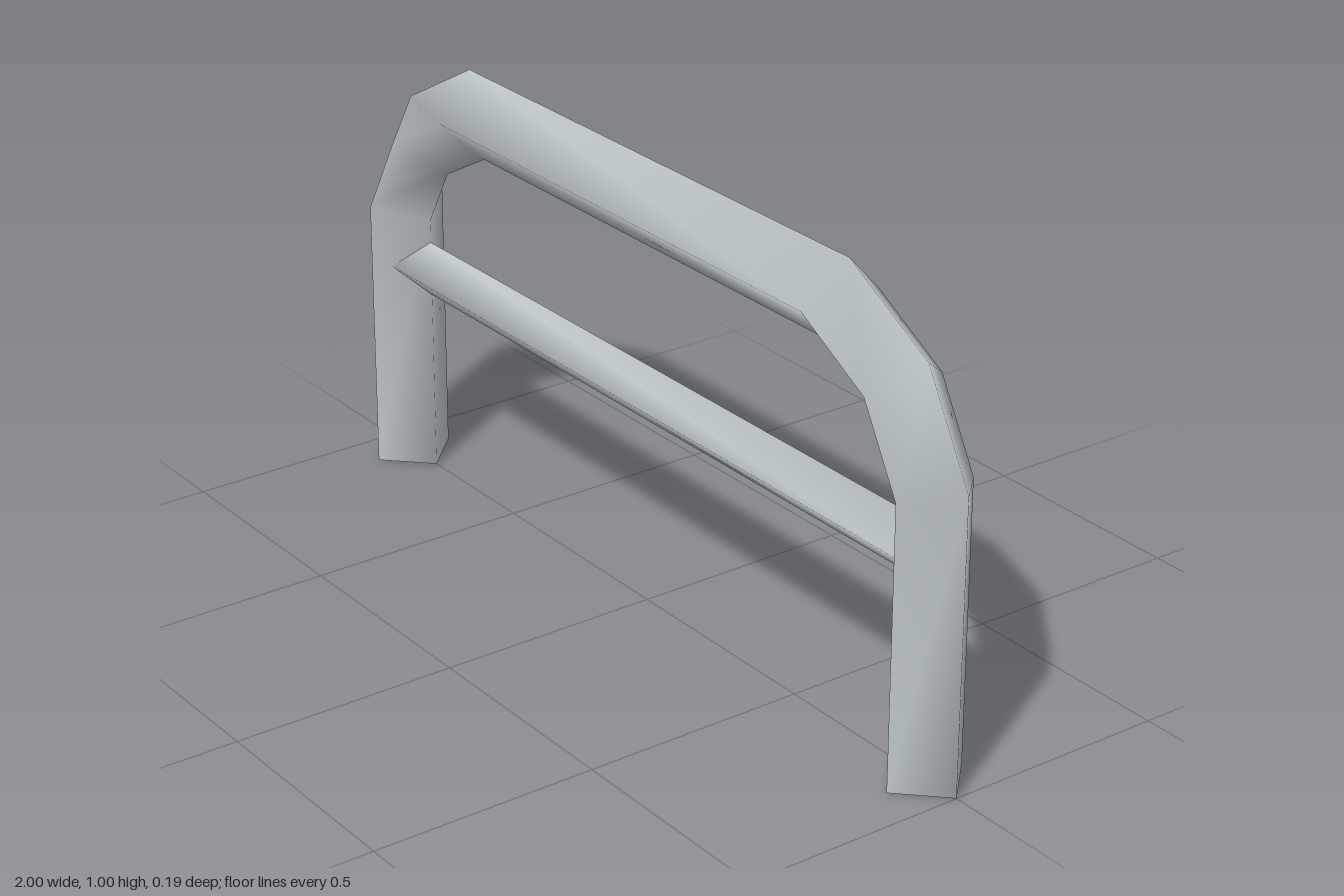
import * as THREE from 'three';

// Sweeps a four-sided diamond section along a path in the XY plane, with mitred corners.
function diamondTube(path, radius) {
  const pts = path.map(([x, y]) => new THREE.Vector2(x, y));
  const last = pts.length - 1;
  const normalOf = (i) => {
    const d = pts[i + 1].clone().sub(pts[i]).normalize();
    return new THREE.Vector2(-d.y, d.x);
  };
  const positions = [];
  const index = [];
  pts.forEach((p, i) => {
    const before = normalOf(Math.max(i - 1, 0));
    const after = normalOf(Math.min(i, last - 1));
    const mitre = before.clone().add(after).normalize();
    mitre.multiplyScalar(radius / mitre.dot(after));
    positions.push(
      p.x + mitre.x, p.y + mitre.y, 0,
      p.x, p.y, radius,
      p.x - mitre.x, p.y - mitre.y, 0,
      p.x, p.y, -radius,
    );
    if (i === last) return;
    for (let j = 0; j < 4; j++) {
      const a = i * 4 + j;
      const b = i * 4 + ((j + 1) % 4);
      index.push(a, b, b + 4, a, b + 4, a + 4);
    }
  });
  const geometry = new THREE.BufferGeometry();
  geometry.setAttribute('position', new THREE.Float32BufferAttribute(positions, 3));
  geometry.setIndex(index);
  geometry.computeVertexNormals();
  return geometry;
}

export function createModel() {
  const group = new THREE.Group();
  group.name = 'barrier';

  // Open-ended tubes, so both sides are shown
  const steel = new THREE.MeshStandardMaterial({ color: 0xbfc7ca, side: THREE.DoubleSide });
  steel.name = 'pale steel';

  const add = (name, geometry) => {
    const mesh = new THREE.Mesh(geometry, steel);
    mesh.name = name;
    group.add(mesh);
  };

  // Bent hoop: two legs, chamfered corners and the top rail
  const half = [[0.905, 0], [0.905, 0.62], [0.805, 0.8], [0.615, 0.905]];
  const hoop = [...half.map(([x, y]) => [-x, y]), ...half.slice().reverse()];
  add('hoopFrame', diamondTube(hoop, 0.095));

  // Thinner cross rail running between the legs
  add('crossRail', diamondTube([[-0.9, 0.482], [0.9, 0.482]], 0.063));

  return group;
}
